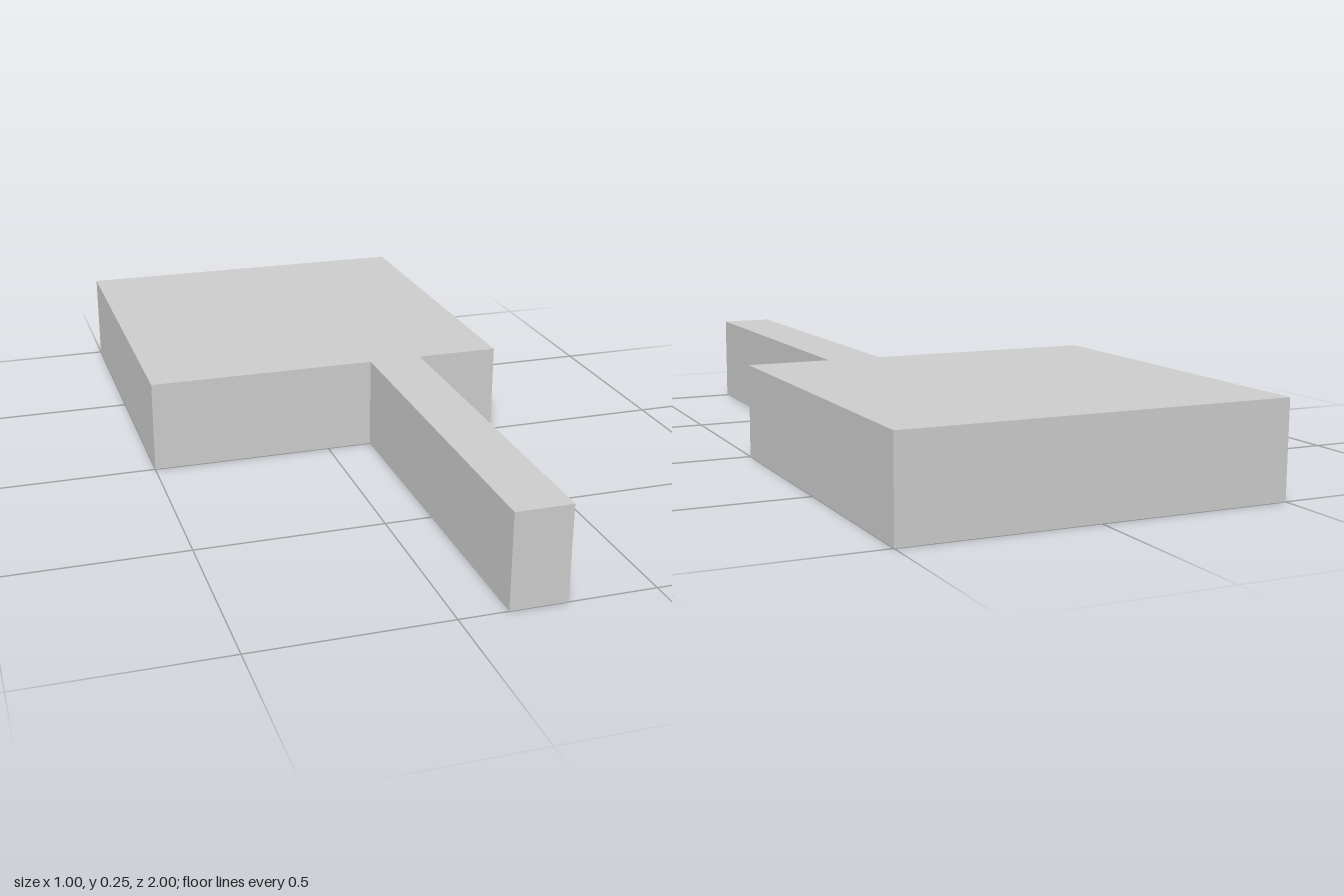
import * as THREE from 'three';

const HEIGHT = 0.25;

export function createModel() {
  const group = new THREE.Group();
  group.name = 'slabWithArm';

  // Plan outline in (x, z): square slab at the back, narrow off-centre arm at the front
  const armLeft = 0.272, armRight = 0.125;
  const outline = new THREE.Shape([
    [-0.5, -1], [0.5, -1], [0.5, 0],
    [armLeft, 0], [armLeft, 1], [armRight, 1], [armRight, 0],
    [-0.5, 0],
  ].map(([x, z]) => new THREE.Vector2(x, z)));

  // One solid, laid flat so that shape y becomes z
  const geometry = new THREE.ExtrudeGeometry(outline, { depth: HEIGHT, bevelEnabled: false });
  geometry.rotateX(Math.PI / 2).translate(0, HEIGHT, 0);

  const material = new THREE.MeshStandardMaterial({ color: 0xcccccc, flatShading: true });
  const slab = new THREE.Mesh(geometry, material);
  slab.name = 'slabAndArm';
  group.add(slab);
  return group;
}
